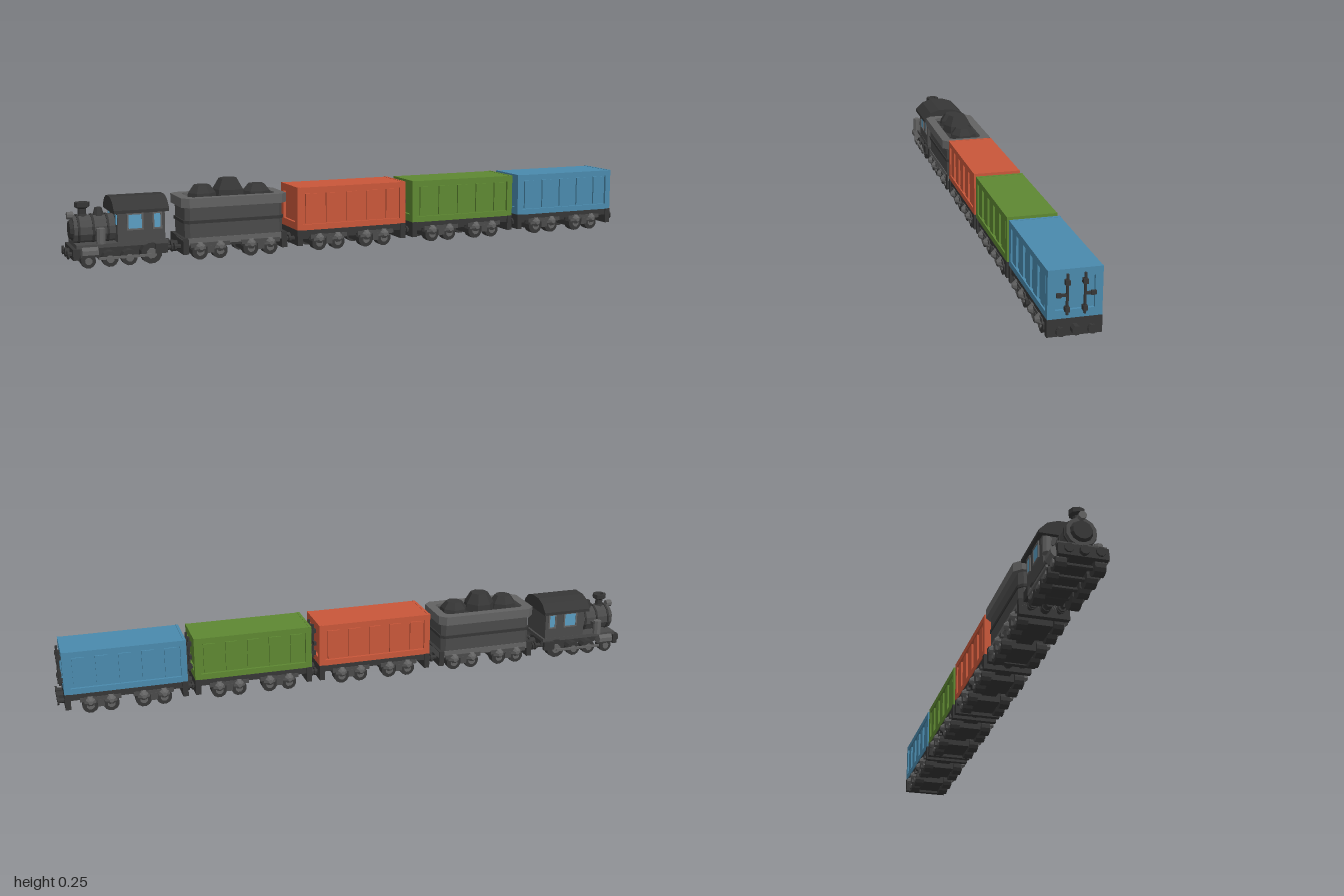
import * as THREE from 'three';

const mat = (name, color) => {
  const m = new THREE.MeshStandardMaterial({ color, flatShading: true });
  m.name = name;
  return m;
};

export function createModel() {
  const dark = mat('dark iron', 0x363636);
  const iron = mat('iron', 0x4a4a4a);
  const steel = mat('grey steel', 0x626262);
  const red = mat('red paint', 0xc9573a);
  const green = mat('green paint', 0x5e8832);
  const blue = mat('blue paint', 0x4a8aad);
  const glass = mat('window glass', 0x5a9dc2);
  const train = new THREE.Group();
  train.name = 'train';

  const add = (parent, name, geo, m, x = 0, y = 0, z = 0) => {
    const mesh = new THREE.Mesh(geo, m);
    mesh.name = name;
    mesh.position.set(x, y, z);
    parent.add(mesh);
    return mesh;
  };
  const group = (parent, name, x = 0) => {
    const g = new THREE.Group();
    g.name = name;
    g.position.x = x;
    parent.add(g);
    return g;
  };
  const box = (w, h, d) => new THREE.BoxGeometry(w, h, d);
  const cyl = (rTop, rBottom, h, n = 8) => new THREE.CylinderGeometry(rTop, rBottom, h, n).rotateY(Math.PI / n);
  const cylX = (rFront, rBack, h, n = 8) => cyl(rFront, rBack, h, n).rotateZ(-Math.PI / 2);
  const cylZ = (rFront, rBack, h, n = 8) => cyl(rFront, rBack, h, n).rotateX(Math.PI / 2);
  const rect = (Type, w, h) => new Type([
    [-w / 2, -h / 2], [w / 2, -h / 2], [w / 2, h / 2], [-w / 2, h / 2],
  ].map(([x, y]) => new THREE.Vector2(x, y)));
  // Rectangular frame with an open middle, centred on its depth
  const frame = (w, h, holeW, holeH, depth) => {
    const s = rect(THREE.Shape, w, h);
    s.holes.push(rect(THREE.Path, holeW, holeH));
    return new THREE.ExtrudeGeometry(s, { depth, bevelEnabled: false }).translate(0, 0, -depth / 2);
  };
  // Chamfered rectangle lying flat, used for the tender tub
  const chamfered = (w, d, c, Type = THREE.Shape) => {
    const a = w / 2, b = d / 2;
    return new Type([
      [-a + c, -b], [a - c, -b], [a, -b + c], [a, b - c], [a - c, b], [-a + c, b], [-a, b - c], [-a, -b + c],
    ].map(([x, y]) => new THREE.Vector2(x, y)));
  };
  const slab = (shape, h) =>
    new THREE.ExtrudeGeometry(shape, { depth: h, bevelEnabled: false }).rotateX(-Math.PI / 2);

  const wheelPair = (parent, x, r) => {
    add(parent, 'axle', cylZ(0.007, 0.007, 0.12), dark, x, r, 0);
    for (const s of [-1, 1]) {
      add(parent, 'wheel', cylZ(r, r, 0.032, 12), dark, x, r, s * 0.056);
      add(parent, 'wheelHub', cylZ(r * 0.5, r * 0.5, 0.006), steel, x, r, s * 0.074);
    }
  };

  // Four-wheeled truck with side beams and conical axle boxes
  const bogie = (parent, x) => {
    const g = group(parent, 'bogie', x);
    add(g, 'bogieBody', box(0.1, 0.032, 0.078), dark, 0, 0.03, 0);
    for (const wx of [-0.033, 0.033]) wheelPair(g, wx, 0.026);
    for (const s of [-1, 1]) {
      add(g, 'sideBeam', box(0.13, 0.014, 0.01), iron, 0, 0.049, s * 0.073);
      add(g, 'springBlock', box(0.022, 0.024, 0.012), iron, 0, 0.034, s * 0.074);
      for (const wx of [-0.033, 0.033]) {
        const cone = s > 0 ? cylZ(0.007, 0.021, 0.018) : cylZ(0.021, 0.007, 0.018);
        add(g, 'axleBox', cone, steel, wx, 0.041, s * 0.081);
      }
    }
  };

  // Buffers and coupling on one end of a vehicle
  const coupling = (parent, x, dir, reach = 0.022) => {
    for (const z of [-0.045, 0.045]) {
      add(parent, 'bufferStem', cylX(0.008, 0.008, reach), dark, x + dir * reach / 2, 0.043, z);
      add(parent, 'bufferHead', cylX(0.014, 0.014, 0.006), dark, x + dir * (reach - 0.003), 0.043, z);
    }
    add(parent, 'coupler', cylX(0.014, 0.014, reach), dark, x + dir * reach / 2, 0.043, 0);
  };

  const chassis = (parent, length, m) => {
    add(parent, 'chassis', box(length, 0.022, 0.15), m, 0, 0.061, 0);
    add(parent, 'centreSill', box(length - 0.02, 0.02, 0.05), dark, 0, 0.043, 0);
    for (const s of [-1, 1]) {
      bogie(parent, s * 0.085);
      add(parent, 'endBeam', box(0.018, 0.052, 0.158), dark, s * (length / 2 - 0.009), 0.047, 0);
      coupling(parent, s * length / 2, s);
    }
  };

  // Boxcar with recessed ribbed sides and barred end doors
  const freightCar = (name, x, paint) => {
    const g = group(train, name, x);
    const L = 0.394, H = 0.143, W = 0.156, y = 0.1435, d = 0.009;
    chassis(g, L, dark);
    add(g, 'carCore', box(L - 2 * d, H, W - 2 * d), paint, 0, y, 0);
    for (const s of [-1, 1]) {
      add(g, 'sideFrame', frame(L, H, L - 0.04, H - 0.038, d), paint, 0, y, s * (W - d) / 2);
      for (let i = -2; i <= 2; i++)
        add(g, 'sideRib', box(0.04, H - 0.044, 0.007), paint, i * 0.073, y, s * (W / 2 - 0.006));
      add(g, 'endFrame', frame(W, H, 0.112, 0.094, d), paint, s * (L - d) / 2, y + 0.001, 0)
        .rotation.y = Math.PI / 2;
    }
    const end = L / 2;
    for (const s of [-1, 1]) {
      add(g, 'doorBar', cyl(0.004, 0.004, 0.118), dark, end + 0.008, 0.146, s * 0.025);
      for (const by of [0.103, 0.181])
        add(g, 'barBracket', box(0.016, 0.014, 0.013), dark, end + 0.007, by, s * 0.025);
      add(g, 'doorHandle', box(0.006, 0.008, 0.03), dark, end + 0.008, 0.145, s * 0.041);
      add(g, 'handleGrip', box(0.008, 0.012, 0.014), dark, end + 0.008, 0.145, s * 0.049);
    }
  };
  freightCar('redCar', -0.058, red);
  freightCar('greenCar', 0.363, green);
  freightCar('blueCar', 0.781, blue);

  // Tender with flared rim and a load of coal
  const tender = group(train, 'tender', -0.467);
  chassis(tender, 0.35, steel);
  add(tender, 'tenderTub', slab(chamfered(0.328, 0.146, 0.014), 0.11), iron, 0, 0.068, 0);
  add(tender, 'tubBand', slab(chamfered(0.336, 0.152, 0.014), 0.01), dark, 0, 0.118, 0);
  const rim = chamfered(0.352, 0.178, 0.022);
  rim.holes.push(chamfered(0.29, 0.116, 0.012, THREE.Path));
  add(tender, 'tubRim', slab(rim, 0.03), steel, 0, 0.171, 0);
  add(tender, 'coalBed', box(0.292, 0.012, 0.118), dark, 0, 0.184, 0);
  for (const [x, r, h, turn] of [[-0.09, 0.05, 0.045, 0.3], [0, 0.056, 0.063, 0], [0.095, 0.05, 0.04, 0.2]]) {
    const profile = [[r, 0], [r * 0.92, h * 0.45], [r * 0.55, h], [0, h]].map(p => new THREE.Vector2(...p));
    add(tender, 'coalLump', new THREE.LatheGeometry(profile, 7), dark, x, 0.188, 0).rotation.y = turn;
  }

  // Locomotive running gear
  const loco = group(train, 'locomotive');
  add(loco, 'locoFrame', box(0.27, 0.03, 0.07), dark, -0.835, 0.045, 0);
  add(loco, 'runningBoard', box(0.285, 0.012, 0.142), iron, -0.832, 0.068, 0);
  add(loco, 'frontBeam', box(0.016, 0.034, 0.145), dark, -0.978, 0.045, 0);
  coupling(loco, -0.984, -1, 0.016);
  coupling(loco, -0.69, 1);
  wheelPair(loco, -0.94, 0.023);
  wheelPair(loco, -0.872, 0.025);
  wheelPair(loco, -0.812, 0.025);
  wheelPair(loco, -0.742, 0.034);
  for (const s of [-1, 1]) {
    add(loco, 'connectingRod', box(0.17, 0.008, 0.006), steel, -0.825, 0.03, s * 0.08);
    add(loco, 'steamCylinder', cylX(0.018, 0.018, 0.05), steel, -0.935, 0.05, s * 0.068);
    add(loco, 'sidePump', cyl(0.014, 0.014, 0.048), steel, -0.9, 0.1, s * 0.075);
    add(loco, 'pumpBracket', box(0.02, 0.014, 0.04), iron, -0.9, 0.106, s * 0.055);
    add(loco, 'cabStep', box(0.04, 0.03, 0.012), dark, -0.712, 0.048, s * 0.074);
  }

  // Boiler, chimney and domes
  add(loco, 'boiler', cylX(0.045, 0.045, 0.13, 12), iron, -0.91, 0.113, 0);
  add(loco, 'smokeboxDoor', cylX(0.036, 0.028, 0.014, 12), dark, -0.978, 0.113, 0);
  for (const x of [-0.96, -0.915, -0.87])
    add(loco, 'boilerBand', cylX(0.048, 0.048, 0.007, 12), dark, x, 0.113, 0);
  add(loco, 'headlamp', cylX(0.012, 0.012, 0.02), steel, -0.98, 0.158, 0);
  const stack = [[0.018, 0], [0.013, 0.012], [0.013, 0.028], [0.024, 0.034], [0.024, 0.048], [0.014, 0.048], [0.012, 0.04], [0, 0.04]];
  add(loco, 'chimney', new THREE.LatheGeometry(stack.map(p => new THREE.Vector2(...p)), 8), dark, -0.942, 0.15, 0);
  add(loco, 'steamDome', cyl(0.011, 0.02, 0.03), dark, -0.892, 0.164, 0);

  // Cab with windows and faceted roof
  add(loco, 'cab', box(0.15, 0.108, 0.14), iron, -0.772, 0.126, 0);
  for (const s of [-1, 1]) {
    for (const [x, w] of [[-0.792, 0.042], [-0.722, 0.02]]) {
      add(loco, 'windowFrame', frame(w + 0.01, 0.054, w, 0.044, 0.006), steel, x, 0.138, s * 0.071);
      add(loco, 'sideWindow', box(w, 0.044, 0.004), glass, x, 0.138, s * 0.07);
    }
    add(loco, 'frontWindow', box(0.004, 0.03, 0.016), glass, -0.848, 0.145, s * 0.056);
  }
  const roof = new THREE.Shape([
    [-0.084, 0.166], [0.084, 0.166], [0.084, 0.176], [0.058, 0.202], [0.025, 0.213],
    [-0.025, 0.213], [-0.058, 0.202], [-0.084, 0.176],
  ].map(p => new THREE.Vector2(...p)));
  add(loco, 'cabRoof', new THREE.ExtrudeGeometry(roof, { depth: 0.174, bevelEnabled: false }), dark, -0.86, 0, 0)
    .rotation.y = Math.PI / 2;
  return train;
}
